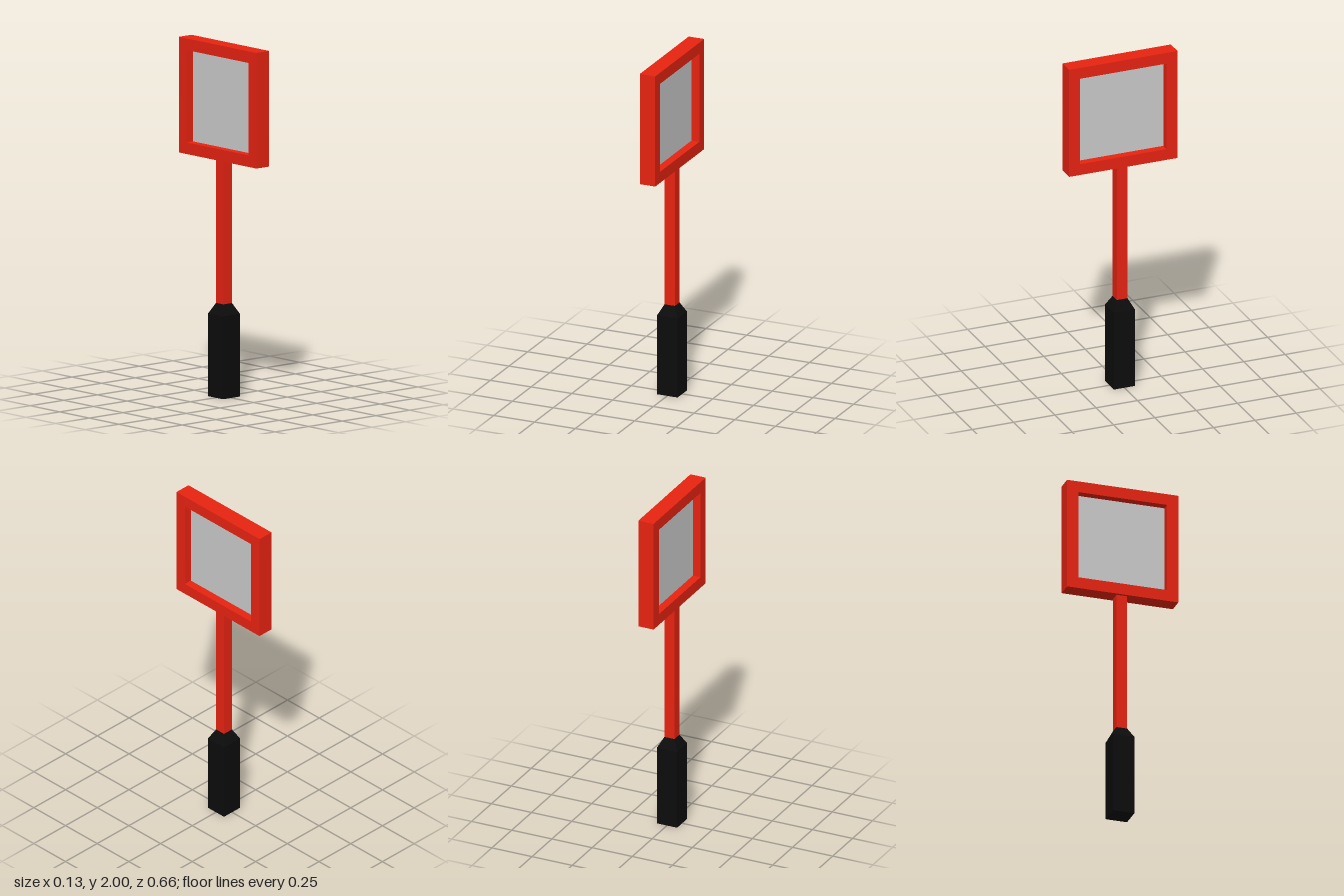
import * as THREE from 'three';

const red = new THREE.MeshStandardMaterial({ color: 0xe82311, flatShading: true });
const black = new THREE.MeshStandardMaterial({ color: 0x0c0c0c, flatShading: true });
const grey = new THREE.MeshStandardMaterial({ color: 0xcccccc, side: THREE.DoubleSide });

// Square prism along y from y0 to y1, with half-widths at the bottom and top
function squarePrism(bottom, top, y0, y1, openEnded) {
  const geometry = new THREE.CylinderGeometry(
    top * Math.SQRT2, bottom * Math.SQRT2, y1 - y0, 4, 1, openEnded);
  geometry.rotateY(Math.PI / 4);
  geometry.translate(0, (y0 + y1) / 2, 0);
  return geometry;
}

function squarePath(path, h) {
  path.moveTo(-h, -h);
  path.lineTo(h, -h);
  path.lineTo(h, h);
  path.lineTo(-h, h);
  path.closePath();
  return path;
}

export function createModel() {
  const model = new THREE.Group();
  const add = (parent, name, geometry, material) => {
    const mesh = new THREE.Mesh(geometry, material);
    mesh.name = name;
    parent.add(mesh);
    return mesh;
  };

  // Grip: straight square body with a tapered collar meeting the pole
  const grip = new THREE.Group();
  grip.name = 'grip';
  model.add(grip);
  const body = squarePrism(0.063, 0.063, 0, 0.47, false);
  add(grip, 'gripBody', body, black);
  add(grip, 'gripCollar', squarePrism(0.063, 0.0315, 0.47, 0.53, true), black);

  // Pole
  add(model, 'pole', squarePrism(0.0315, 0.0315, 0.53, 1.345, false), red);

  // Sign head: square frame facing sideways, with a sheet set at mid-depth
  const head = new THREE.Group();
  head.name = 'signHead';
  head.position.y = 1.672;
  head.rotation.y = Math.PI / 2;
  model.add(head);

  const depth = 0.095;
  const outline = squarePath(new THREE.Shape(), 0.328);
  outline.holes.push(squarePath(new THREE.Path(), 0.262));
  const frame = new THREE.ExtrudeGeometry(outline, { depth, bevelEnabled: false });
  frame.translate(0, 0, -depth / 2);
  add(head, 'frame', frame, red);
  add(head, 'panel', new THREE.PlaneGeometry(0.524, 0.524), grey);

  return model;
}
